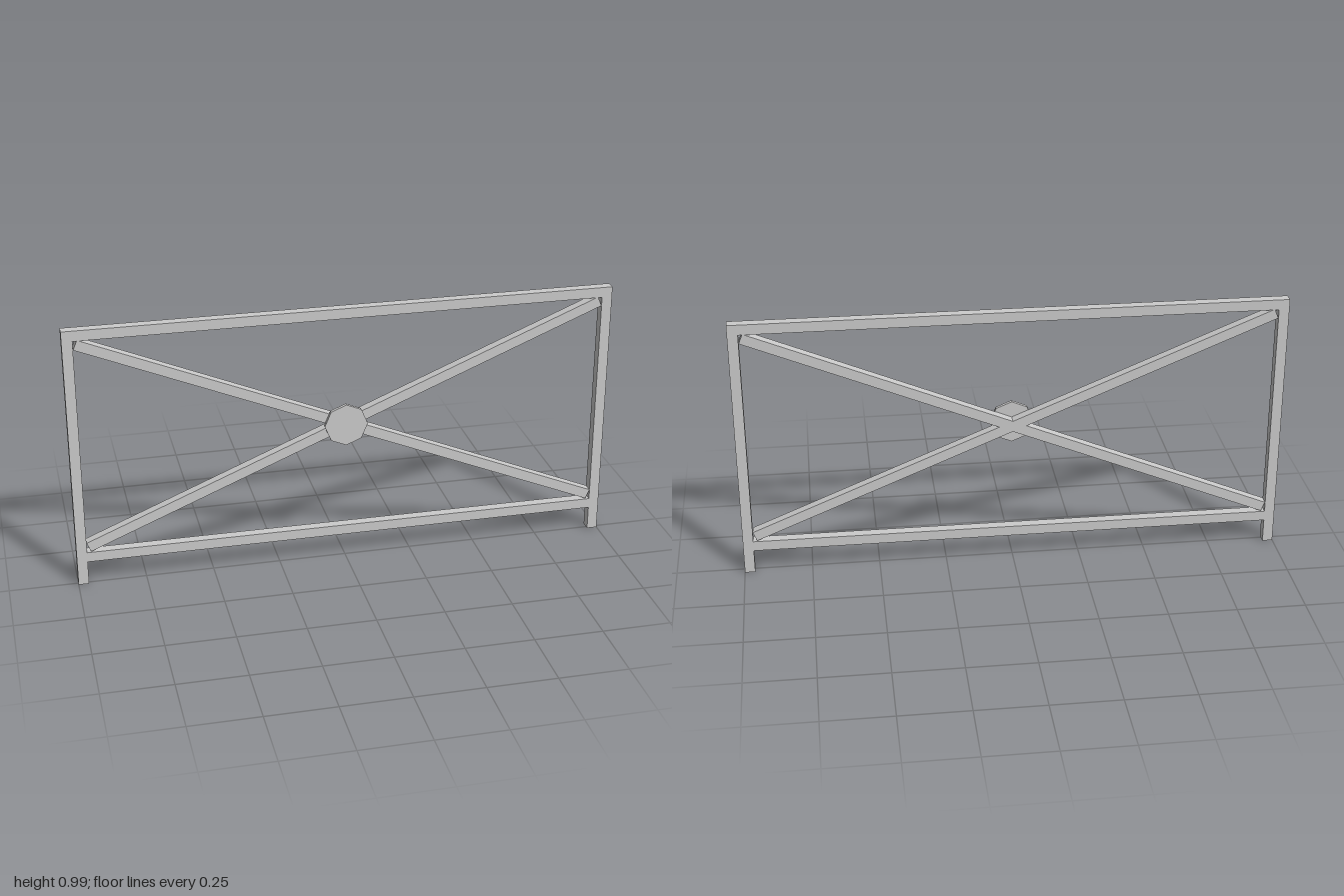
import * as THREE from 'three';

export function createModel() {
  const group = new THREE.Group();
  const material = new THREE.MeshStandardMaterial({ color: 0xcccccc, flatShading: true });
  const T = 0.038; // square bar section
  const Z = -0.007; // centre plane of the frame
  const midY = 0.543;

  function bar(name, length, height, x, y, angle = 0) {
    const mesh = new THREE.Mesh(new THREE.BoxGeometry(length, height, T), material);
    mesh.name = name;
    mesh.position.set(x, y, Z);
    mesh.rotation.z = angle;
    group.add(mesh);
  }

  // Upright posts, whose lower ends serve as feet
  bar('leftPost', T, 0.99, 1 - T / 2, 0.495);
  bar('rightPost', T, 0.99, -1 + T / 2, 0.495);

  // Horizontal rails between the posts
  const span = 2 - 2 * T;
  bar('topRail', span, T, 0, 0.99 - T / 2);
  bar('bottomRail', span, T, 0, 0.09 + T / 2);

  // Crossed diagonal braces
  const run = 0.954, rise = 0.394;
  const angle = Math.atan2(rise, run);
  const length = 2 * Math.hypot(run, rise);
  bar('risingBrace', length, T, 0, midY, angle);
  bar('fallingBrace', length, T, 0, midY, -angle);

  // Octagonal plate on the front of the crossing
  const plate = new THREE.Mesh(new THREE.CylinderGeometry(0.08, 0.08, 0.014, 8), material);
  plate.name = 'centrePlate';
  plate.rotation.x = Math.PI / 2;
  plate.position.set(0, 0.544, 0.019);
  group.add(plate);

  return group;
}
